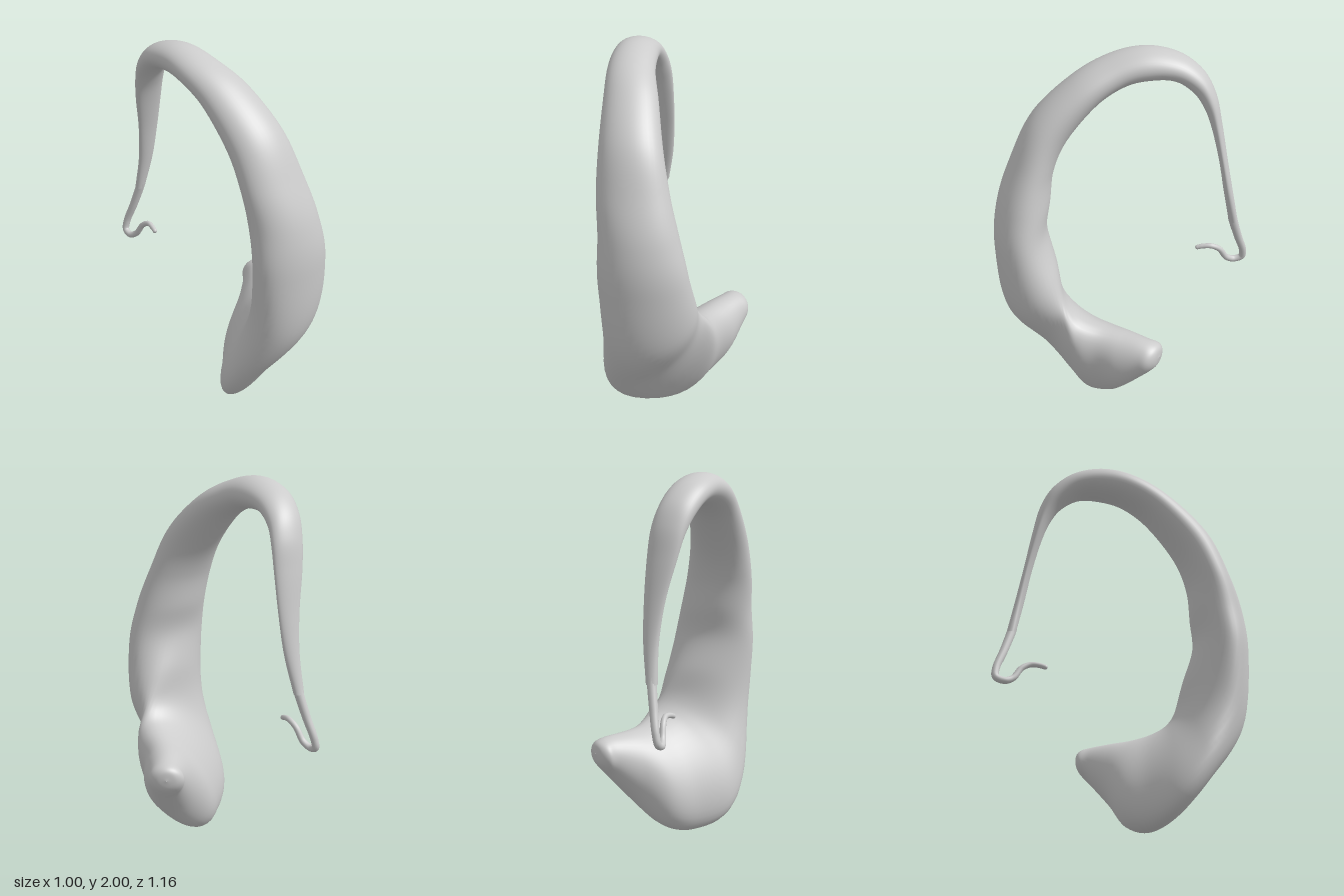
import * as THREE from 'three';

const material = new THREE.MeshStandardMaterial({ color: 0xcccccc, side: THREE.DoubleSide });

// Each row: inner edge xyz, outer edge xyz, half width across, heading of the width in degrees
const body = [
  [.277, .484, -.43, .277, .481, -.43, .002, 0],
  [.277, .53, -.421, .275, .43, -.419, .055, 0],
  [.28, .553, -.39, .275, .39, -.39, .09, 0],
  [.285, .564, -.33, .278, .33, -.335, .1, 0],
  [.29, .57, -.215, .25, .2, -.22, .133, 0],
  [.31, .58, -.105, .14, .05, -.09, .165, 5],
  [.34, .61, -.01, .10, 0, .06, .19, 13],
  [.35, .655, .06, .06, .06, .235, .21, 25],
  [.325, .73, .125, .13, .25, .38, .208, 32],
  [.26, .87, .20, .33, .56, .49, .235, 35],
  [.215, 1.06, .285, .38, .94, .515, .23, 36],
  [.175, 1.22, .285, .355, 1.2, .505, .205, 36],
  [.135, 1.39, .28, .28, 1.43, .46, .185, 35],
];
const arm = [
  [.07, 1.55, .23, .19, 1.675, .375, .162, 34],
  [-.035, 1.73, .11, .045, 1.865, .22, .14, 33],
  [-.13, 1.815, 0, -.09, 1.963, .075, .123, 33],
  [-.2, 1.84, -.11, -.195, 2, -.075, .113, 33],
  [-.262, 1.83, -.205, -.28, 1.965, -.225, .105, 33],
  [-.3, 1.77, -.29, -.325, 1.88, -.34, .097, 33],
  [-.315, 1.69, -.35, -.338, 1.76, -.41, .09, 30],
  [-.325, 1.58, -.395, -.34, 1.6, -.45, .079, 27],
  [-.33, 1.4, -.445, -.342, 1.4, -.49, .058, 24],
  [-.345, 1.2, -.478, -.358, 1.2, -.525, .042, 22],
  [-.384, 1, -.5, -.393, 1, -.55, .028, 20],
];

// Smooth loft of oval sections through the rows
function loft(rows, steps, sides) {
  const curve = f => new THREE.CatmullRomCurve3(rows.map(f), false, 'catmullrom', 0.5);
  const inner = curve(r => new THREE.Vector3(r[0], r[1], r[2]));
  const outer = curve(r => new THREE.Vector3(r[3], r[4], r[5]));
  const across = curve(r => {
    const a = THREE.MathUtils.degToRad(r[7]);
    return new THREE.Vector3(-r[6] * Math.cos(a), 0, r[6] * Math.sin(a));
  });
  const pos = [], index = [];
  for (let i = 0; i <= steps; i++) {
    const t = i / steps;
    const out = outer.getPoint(t);
    const c = inner.getPoint(t).add(out).multiplyScalar(0.5);
    const half = out.sub(c);
    const side = across.getPoint(t);
    for (let j = 0; j < sides; j++) {
      const a = j / sides * Math.PI * 2;
      const p = c.clone().addScaledVector(half, Math.cos(a)).addScaledVector(side, Math.sin(a));
      pos.push(p.x, p.y, p.z);
      if (i < steps) {
        const k = i * sides + j, n = i * sides + (j + 1) % sides;
        index.push(k, k + sides, n, n, k + sides, n + sides);
      }
    }
  }
  const g = new THREE.BufferGeometry();
  g.setAttribute('position', new THREE.Float32BufferAttribute(pos, 3));
  g.setIndex(index);
  g.computeVertexNormals();
  return g;
}

// Round wire whose radius shrinks from r0 to r1
function taperedTube(points, r0, r1, steps, sides) {
  const curve = new THREE.CatmullRomCurve3(points.map(p => new THREE.Vector3(...p)));
  const g = new THREE.TubeGeometry(curve, steps, 1, sides);
  const pos = g.attributes.position, v = new THREE.Vector3();
  for (let i = 0; i < pos.count; i++) {
    const t = Math.floor(i / (sides + 1)) / steps;
    const c = curve.getPointAt(t);
    v.fromBufferAttribute(pos, i).sub(c).multiplyScalar(r0 + (r1 - r0) * t).add(c);
    pos.setXYZ(i, v.x, v.y, v.z);
  }
  return g;
}

export function createModel() {
  const group = new THREE.Group();
  const add = (name, geometry) => {
    const mesh = new THREE.Mesh(geometry, material);
    mesh.name = name;
    group.add(mesh);
    return mesh;
  };

  // Swollen base with its nub, rising into the arched arm
  add('hookBody', loft([...body, ...arm], 184, 40));

  // Thin wire end with its upturned curl
  const wire = [
    [-.382, 1.03, -.521], [-.389, 1, -.525], [-.428, .88, -.543], [-.468, .77, -.56], [-.476, .72, -.553],
    [-.455, .703, -.515], [-.42, .725, -.485], [-.385, .79, -.455], [-.355, .816, -.42],
    [-.335, .812, -.375], [-.325, .803, -.35],
  ];
  add('wireCurl', taperedTube(wire, .025, .013, 90, 14));
  add('wireTip', new THREE.SphereGeometry(.013, 14, 10)).position.set(...wire[wire.length - 1]);

  return group;
}
